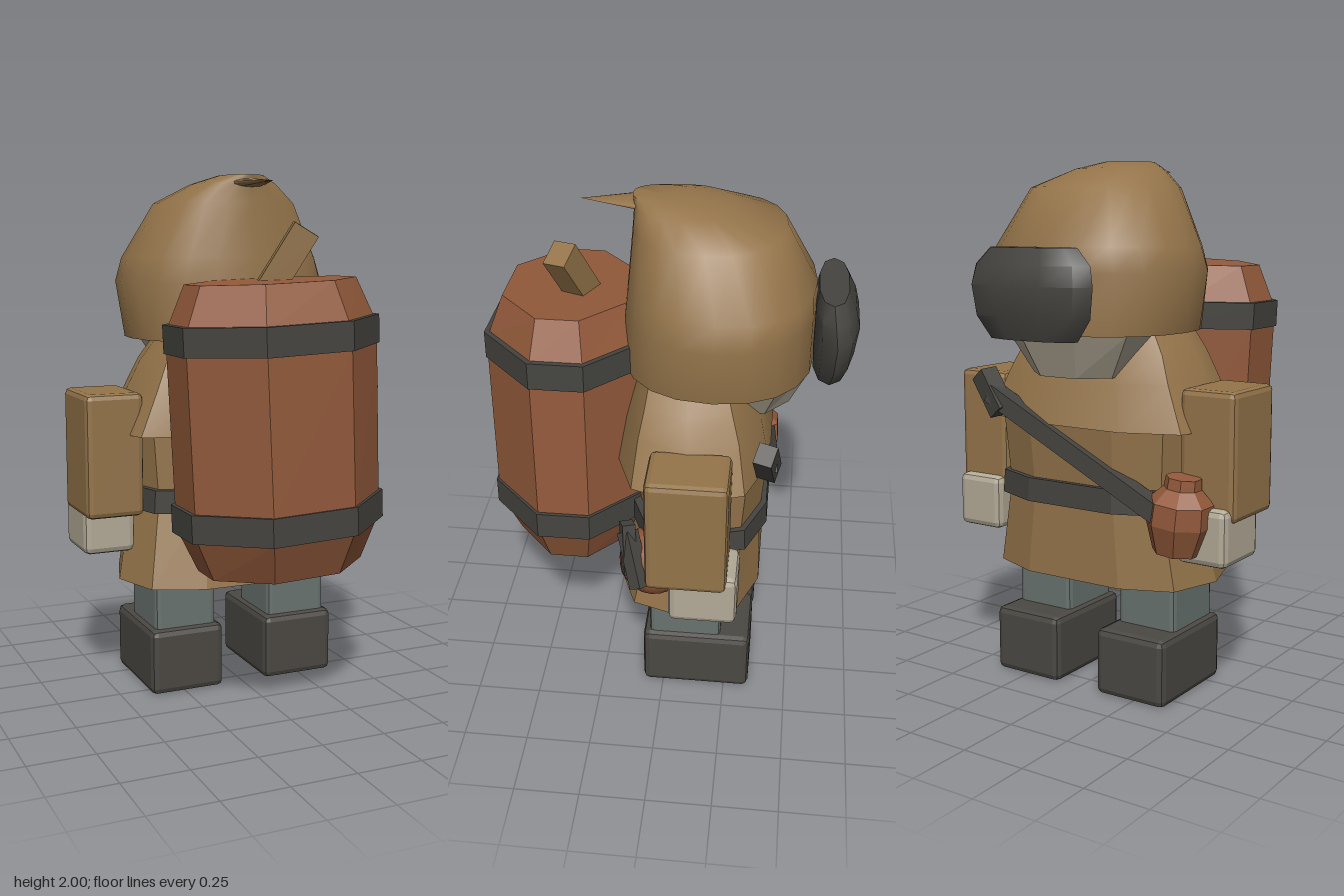
import * as THREE from 'three';
import { toCreasedNormals } from 'three/addons/utils/BufferGeometryUtils.js';
import { RoundedBoxGeometry } from 'three/addons/geometries/RoundedBoxGeometry.js';

function mat(name, color) {
  const m = new THREE.MeshStandardMaterial({ color });
  m.name = name;
  return m;
}

function flat(geo) {
  const g = geo.index ? geo.toNonIndexed() : geo;
  g.computeVertexNormals();
  return g;
}

// Unit outline between circle (power 2) and square (large power)
function outline(sides, power, turn = 0) {
  const bend = (v) => Math.sign(v) * Math.pow(Math.abs(v), 2 / power);
  return Array.from({ length: sides }, (_, i) => {
    const t = ((i + turn) / sides) * Math.PI * 2;
    return [bend(Math.cos(t)), bend(Math.sin(t))];
  });
}

// Closed loft through rings of [y, half width, back z, front z]
function loft(shape, rings, crease = 0) {
  const n = shape.length, pos = [], idx = [];
  for (const [y, hx, z0, z1] of rings)
    for (const [u, v] of shape) pos.push(u * hx, y, (z0 + z1) / 2 + (v * (z1 - z0)) / 2);
  const last = rings.length - 1;
  for (const r of [rings[0], rings[last]]) pos.push(0, r[0], (r[2] + r[3]) / 2);
  const bottom = n * rings.length, top = bottom + 1;
  for (let i = 0; i < n; i++) {
    const j = (i + 1) % n;
    for (let k = 0; k < last; k++) {
      const a = k * n + i, b = k * n + j;
      idx.push(a, a + n, b, b, a + n, b + n);
    }
    idx.push(bottom, i, j, top, last * n + j, last * n + i);
  }
  const g = new THREE.BufferGeometry();
  g.setAttribute('position', new THREE.Float32BufferAttribute(pos, 3));
  g.setIndex(idx);
  return crease ? toCreasedNormals(g, crease) : flat(g);
}

export function createModel() {
  const model = new THREE.Group();
  const cloth = mat('brown cloth', 0x94744a);
  const wood = mat('red wood', 0x935a3b);
  const iron = mat('dark iron', 0x454440);
  const boots = mat('boot leather', 0x4b4843);
  const trousers = mat('grey trousers', 0x69736f);
  const pale = mat('pale skin', 0xb3aa97);

  function add(name, geo, material, parent = model) {
    const m = new THREE.Mesh(geo, material);
    m.name = name;
    parent.add(m);
    return m;
  }
  // Bevelled box given by its lower and upper corners
  function box(name, lo, hi, bevel, material) {
    const s = hi.map((v, i) => v - lo[i]);
    const m = add(name, flat(new RoundedBoxGeometry(...s, 1, bevel)), material);
    m.position.set(...hi.map((v, i) => (v + lo[i]) / 2));
    return m;
  }
  // Straight strip between two points
  function bar(name, from, to, width, depth, material) {
    const a = new THREE.Vector3(...from), b = new THREE.Vector3(...to);
    const m = add(name, new THREE.BoxGeometry(width, a.distanceTo(b), depth), material);
    m.position.copy(a).add(b).multiplyScalar(0.5);
    m.quaternion.setFromUnitVectors(new THREE.Vector3(0, 1, 0), b.sub(a).normalize());
    return m;
  }

  // Limbs
  for (const [side, s] of [['left', 1], ['right', -1]]) {
    const limb = (name, x0, x1, y0, y1, z0, z1, bevel, m) =>
      box(side + name, [Math.min(s * x0, s * x1), y0, z0], [Math.max(s * x0, s * x1), y1, z1], bevel, m);
    limb('Boot', 0.09, 0.39, 0, 0.26, -0.35, 0.08, 0.025, boots);
    limb('Leg', 0.115, 0.365, 0.2, 0.6, -0.23, 0.055, 0.02, trousers);
    limb('Sleeve', 0.4, 0.627, 0.715, 1.19, -0.26, 0.04, 0.022, cloth);
    limb('Hand', 0.41, 0.615, 0.557, 0.77, -0.3, -0.045, 0.025, pale);
  }

  // Coat and shoulder cape
  const body = outline(10, 2.9);
  add('coat', loft(body, [
    [0.44, 0.465, -0.38, 0.2], [0.77, 0.4, -0.37, 0.12],
    [1.03, 0.42, -0.39, 0.12], [1.2, 0.36, -0.35, 0.1],
  ]), cloth);
  add('cape', loft(body, [
    [1.03, 0.505, -0.4, 0.2], [1.2, 0.42, -0.36, 0.17], [1.3, 0.37, -0.32, 0.14], [1.42, 0.28, -0.27, 0.11],
  ], 0.6), cloth);

  // Face, hood and goggles
  add('face', loft(outline(8, 2.2, 0.5), [
    [1.22, 0.19, -0.46, -0.12], [1.38, 0.29, -0.53, -0.1], [1.5, 0.3, -0.53, -0.1],
  ]), pale);
  add('hood', loft(outline(20, 2.25), [
    [1.38, 0.375, -0.53, 0.18], [1.6, 0.412, -0.53, 0.17], [1.69, 0.385, -0.525, 0.16],
    [1.9, 0.27, -0.41, 0.14], [1.97, 0.16, -0.22, 0.135], [2.0, 0.08, -0.08, 0.14],
  ], 1.0), cloth);
  const tip = add('hoodTip', new THREE.ConeGeometry(0.09, 0.27, 10), cloth);
  tip.rotation.x = Math.PI / 2;
  tip.scale.z = 0.25;
  tip.position.set(0, 1.97, 0.19);
  add('goggles', loft(outline(10, 2.3), [
    [1.37, 0.19, -0.65, -0.525], [1.45, 0.25, -0.675, -0.52], [1.56, 0.265, -0.688, -0.52],
    [1.63, 0.25, -0.67, -0.52], [1.69, 0.19, -0.64, -0.53],
  ], 0.7), iron);

  // Barrel on the back, leaning slightly sideways
  const barrel = new THREE.Group();
  barrel.name = 'barrel';
  barrel.position.set(-0.012, 1.09, 0.38);
  barrel.rotation.z = 0.042;
  model.add(barrel);
  const stave = [[1, -0.33], [1, 0.33], [0.43, 1], [-0.43, 1], [-1, 0.33], [-1, -0.33], [-0.43, -1], [0.43, -1]];
  const ring = (y, hx, hz) => [y, hx, -hz, hz];
  add('barrelBody', loft(stave, [
    ring(-0.525, 0.3, 0.225), ring(-0.37, 0.365, 0.29), ring(-0.28, 0.37, 0.298),
    ring(0.28, 0.375, 0.298), ring(0.37, 0.37, 0.292), ring(0.525, 0.305, 0.235),
  ]), wood, barrel);
  for (const y of [-0.32, 0.335])
    add('barrelBand', loft(stave, [ring(y - 0.052, 0.385, 0.305), ring(y + 0.052, 0.385, 0.305)]), iron, barrel);
  const handle = add('barrelHandle', new THREE.BoxGeometry(0.1, 0.3, 0.09), cloth);
  handle.position.set(0.03, 1.67, 0.355);
  handle.rotation.set(0.08, -0.4, -0.52);

  // Belt, chest strap and hilt
  add('belt', loft(body, [[0.725, 0.43, -0.4, 0.15], [0.815, 0.425, -0.395, 0.15]]), iron);
  bar('chestStrap', [0.36, 1.13, -0.385], [-0.4, 0.74, -0.365], 0.07, 0.07, iron);
  bar('hilt', [0.41, 1.2, -0.375], [0.31, 1.06, -0.39], 0.08, 0.07, iron);

  // Round pouch with its crossed ties
  const pouch = add('roundPouch', new THREE.SphereGeometry(0.135, 16, 12), wood);
  pouch.position.set(0.36, 0.635, 0.035);
  bar('pouchTie', [0.4, 0.8, 0.13], [0.51, 0.62, 0.07], 0.055, 0.06, iron);
  bar('pouchTie', [0.4, 0.84, 0.13], [0.45, 0.64, 0.12], 0.05, 0.05, iron);

  // Flask at the belt
  const flask = add('flask', loft(outline(8, 2, 0.5), [
    ring(-0.13, 0.09, 0.09), ring(-0.02, 0.125, 0.125), ring(0.06, 0.12, 0.12),
    ring(0.11, 0.07, 0.07), ring(0.15, 0.065, 0.065),
  ]), wood);
  flask.position.set(-0.43, 0.73, -0.3);
  flask.rotation.z = 0.1;

  return model;
}
